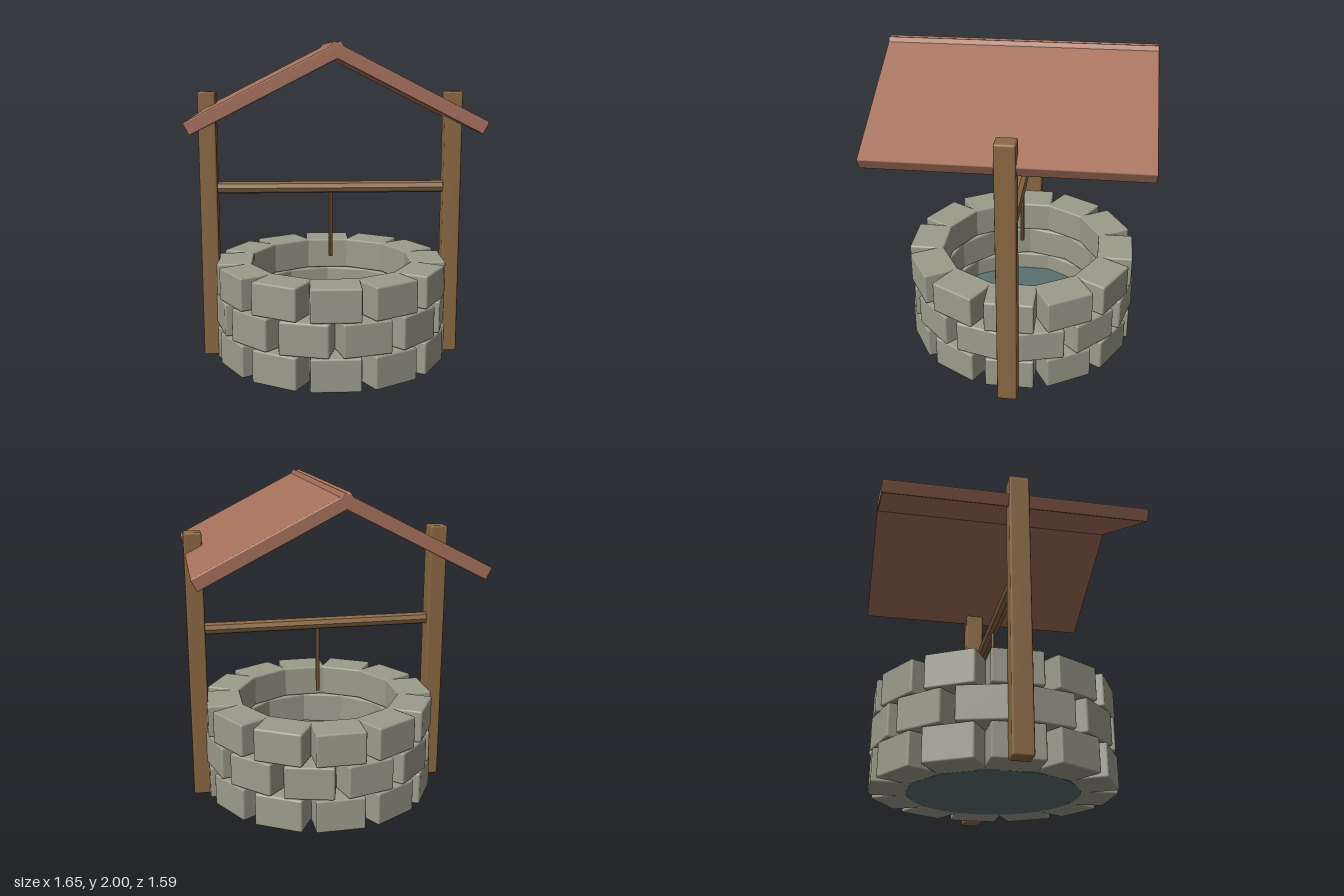
import * as THREE from 'three';
import { RoundedBoxGeometry } from 'three/addons/geometries/RoundedBoxGeometry.js';

const material = (color, flatShading = false) => {
  const m = new THREE.MeshStandardMaterial({ color });
  m.flatShading = flatShading;
  return m;
};

export function createModel() {
  const model = new THREE.Group();
  const stone = material(0x9c9c8c);
  const wood = material(0x8b6842);
  const woodFaceted = material(0x8b6842, true);
  const tile = material(0xa5705a);
  const water = material(0x5a7072);

  const add = (parent, name, geometry, mat, x = 0, y = 0, z = 0) => {
    const mesh = new THREE.Mesh(geometry, mat);
    mesh.name = name;
    mesh.position.set(x, y, z);
    parent.add(mesh);
    return mesh;
  };

  // Stone wall: three courses of twelve blocks, the middle one offset by half a block
  const wall = new THREE.Group();
  wall.name = 'stoneWall';
  model.add(wall);
  const count = 12, outer = 0.725, inner = 0.5;
  const block = new RoundedBoxGeometry(0.3, 0.205, outer - inner, 1, 0.012);
  const mid = (outer + inner) / 2;
  for (let row = 0; row < 3; row++) {
    for (let i = 0; i < count; i++) {
      const a = ((i + (row % 2) * 0.5) / count) * Math.PI * 2;
      const b = add(wall, 'stoneBlock', block, stone,
        Math.sin(a) * mid, 0.113 + row * 0.208, Math.cos(a) * mid);
      b.rotation.y = a;
    }
  }

  // Water disc filling the bottom of the shaft
  add(model, 'water', new THREE.CylinderGeometry(0.515, 0.515, 0.085, 32), water, 0, 0.0525, 0);

  // Posts and the two overlapping roof slabs
  const post = new RoundedBoxGeometry(0.11, 1.7, 0.12, 1, 0.012);
  const slab = new RoundedBoxGeometry(0.945, 0.075, 1.585, 1, 0.008);
  const pitch = Math.atan(0.51);
  for (const s of [1, -1]) {
    const side = s > 0 ? 'left' : 'right';
    add(model, side + 'Post', post, wood, s * 0.77, 0.85, 0);
    add(model, side + 'RoofSlab', slab, tile, s * 0.383, 1.753, 0).rotation.z = -s * pitch;
  }

  // Axle between the posts, with the hanging rope
  const axle = add(model, 'axle', new THREE.CylinderGeometry(0.038, 0.038, 1.46, 8), woodFaceted, 0, 1.093, 0);
  axle.rotation.z = Math.PI / 2;
  add(model, 'rope', new THREE.CylinderGeometry(0.013, 0.013, 0.44, 8), woodFaceted, 0, 0.86, 0);

  return model;
}
